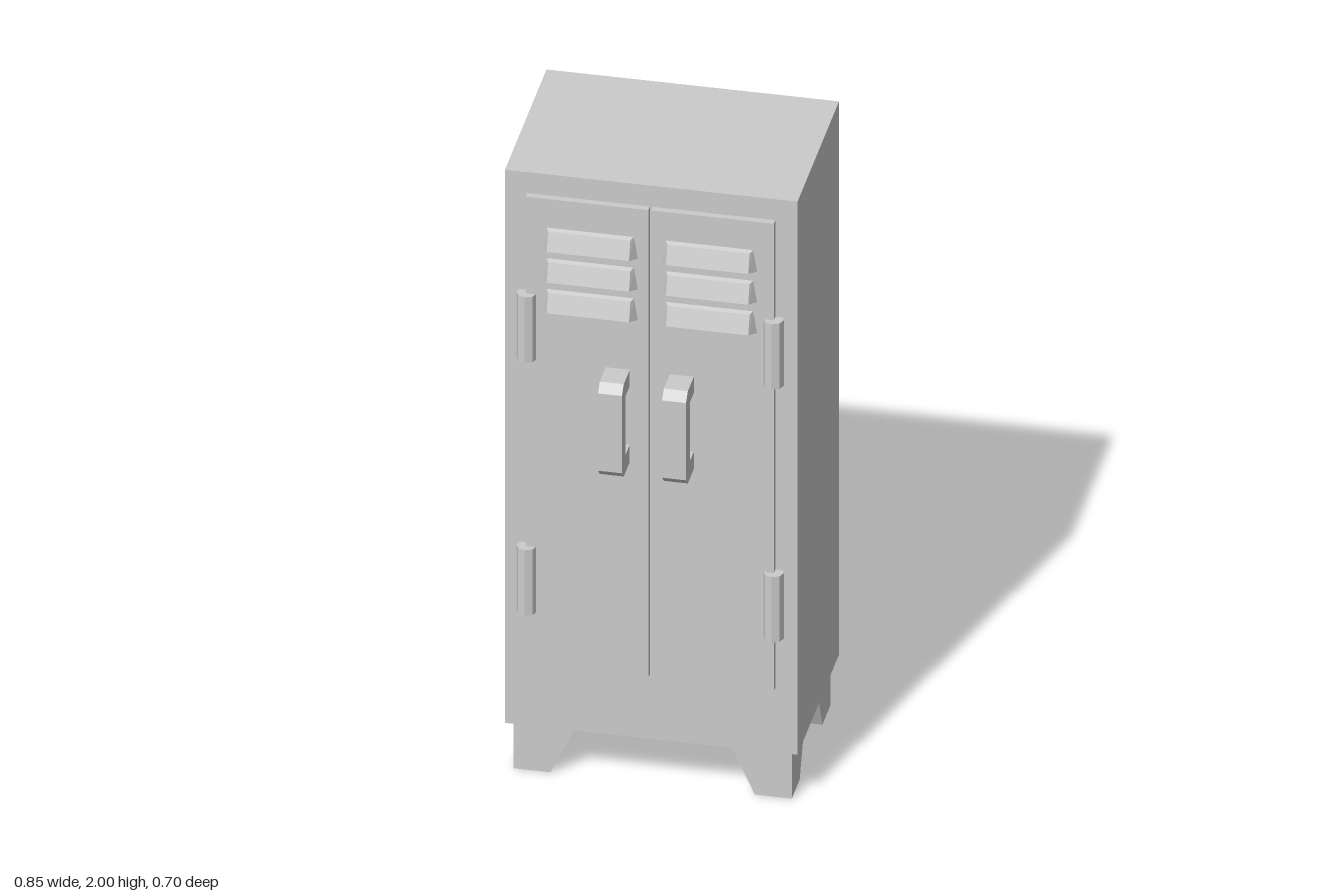
import * as THREE from 'three';

const material = new THREE.MeshStandardMaterial({ color: 0xcccccc, flatShading: true });

function add(parent, name, geometry, x = 0, y = 0, z = 0) {
  const mesh = new THREE.Mesh(geometry, material);
  mesh.name = name;
  mesh.position.set(x, y, z);
  parent.add(mesh);
  return mesh;
}

// Extrude a 2D outline, centred on its thickness
function plate(points, thickness) {
  const shape = new THREE.Shape(points.map(([a, b]) => new THREE.Vector2(a, b)));
  const geometry = new THREE.ExtrudeGeometry(shape, { depth: thickness, bevelEnabled: false });
  return geometry.translate(0, 0, -thickness / 2);
}

// Same, but the outline is read as (z, y) and the thickness runs along x
const sidePlate = (points, thickness) => plate(points, thickness).rotateY(-Math.PI / 2);

// Louvre: a box whose corners are moved into a tapered, sloping hood
function louvreGeometry() {
  const geometry = new THREE.BoxGeometry(2, 2, 2);
  const p = geometry.attributes.position;
  for (let i = 0; i < p.count; i++) {
    const top = p.getY(i) > 0, front = p.getZ(i) > 0;
    const half = front ? 0.12 : top ? 0.13 : 0.142;
    const y = front ? (top ? 0.03 : -0.027) : (top ? 0.037 : -0.037);
    const z = front ? (top ? 0.013 : 0.032) : -0.005;
    p.setXYZ(i, p.getX(i) * half, y, z);
  }
  geometry.computeVertexNormals();
  return geometry;
}

export function createModel() {
  const locker = new THREE.Group();
  locker.name = 'locker';

  add(locker, 'cabinet', new THREE.BoxGeometry(0.854, 1.84, 0.57), 0, 1.08, -0.065);

  const louvre = louvreGeometry();
  const hinge = new THREE.CylinderGeometry(0.03, 0.03, 0.218, 8);
  const handle = sidePlate([
    [0.235, 1.085], [0.322, 1.085], [0.347, 1.11], [0.347, 1.367], [0.322, 1.392],
    [0.235, 1.392], [0.235, 1.338], [0.295, 1.338], [0.295, 1.143], [0.235, 1.143],
  ], 0.07);

  for (const side of [-1, 1]) {
    // Door with its louvres, handle and hinges
    const door = new THREE.Group();
    door.name = side > 0 ? 'leftDoor' : 'rightDoor';
    locker.add(door);
    add(door, 'doorPanel', new THREE.BoxGeometry(0.358, 1.555, 0.03), side * 0.183, 1.1525, 0.225);
    for (let i = 0; i < 3; i++) add(door, 'louvre', louvre, side * 0.174, 1.8 - i * 0.102, 0.24);
    add(door, 'handle', handle, side * 0.0935);
    for (const y of [0.659, 1.5]) add(door, 'hinge', hinge, side * 0.36, y, 0.234);

    // Angle-bracket feet: two tapered plates meeting at the outer corner
    for (const end of [-1, 1]) {
      const foot = new THREE.Group();
      foot.name = (end > 0 ? 'front' : 'back') + (side > 0 ? 'Left' : 'Right') + 'Foot';
      foot.position.set(side * 0.406, 0, -0.064 + end * 0.264);
      locker.add(foot);
      const t = 0.04;
      const outline = (s) => [[0, 0], [-s * 0.108, 0], [-s * 0.181, 0.162], [0, 0.162]];
      add(foot, 'footFacePlate', plate(outline(side), t), 0, 0, -end * t / 2);
      add(foot, 'footSidePlate', sidePlate(outline(end), t), -side * t / 2);
    }
  }
  return locker;
}
